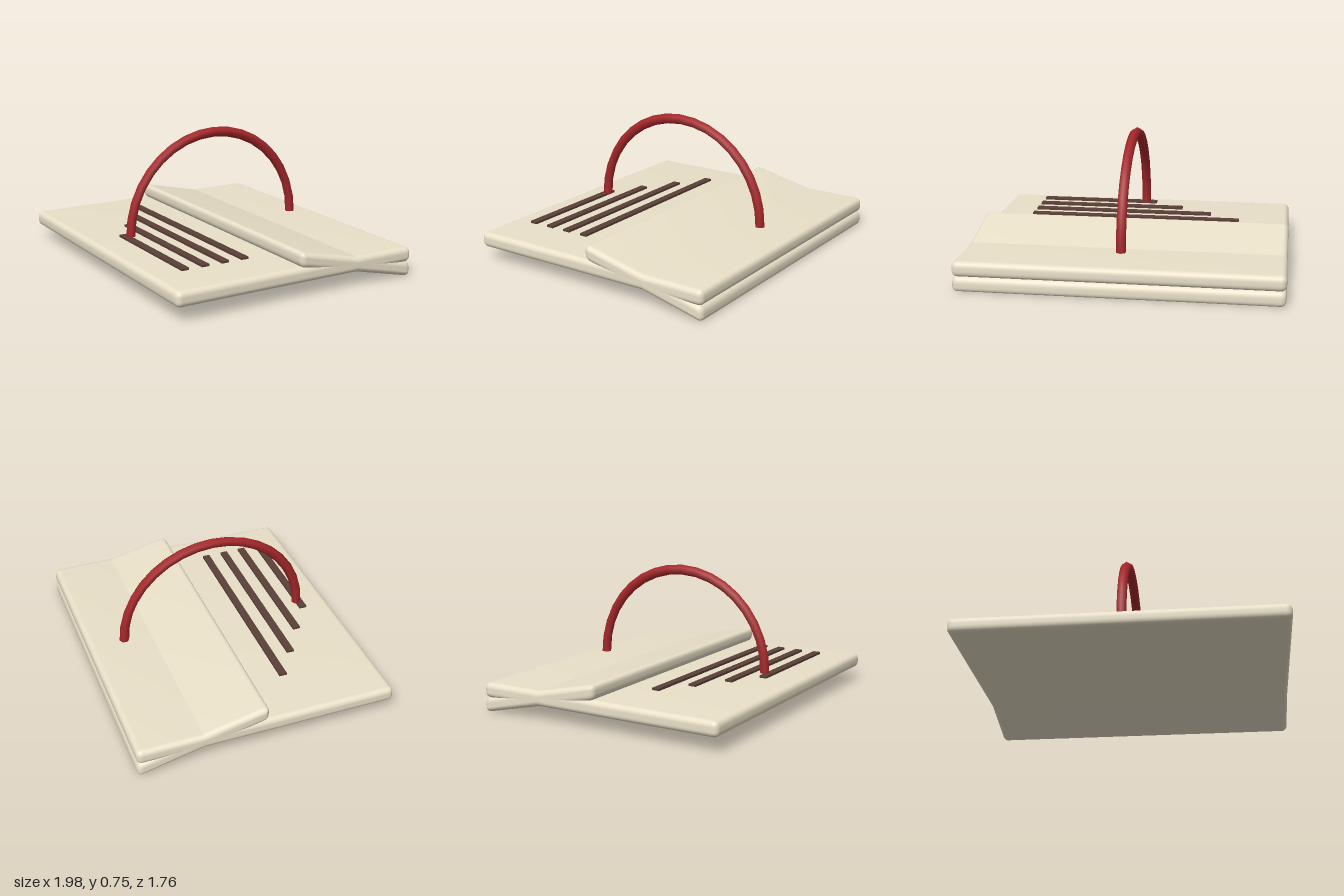
import * as THREE from 'three';
import { toCreasedNormals } from 'three/addons/utils/BufferGeometryUtils.js';

const WIDTH = 1.73, BACK = -0.72, BEND = -0.36, THICK = 0.083, MID = 0.085;

// Slab with softened edges: profile of [z, bottom y] stations from front to back,
// extruded across the width
function slabGeometry(stations) {
  const up = THICK;
  const [f, m, b] = stations;
  const r = 0.036, bevel = 0.03;
  const corners = [
    [f[0], f[1], true], [m[0], m[1], false], [b[0], b[1], true],
    [b[0], b[1] + up, true], [m[0], m[1] + up, false], [f[0], f[1] + up, true],
  ].map(([z, y, round]) => ({ p: new THREE.Vector2(z, y), round }));
  const toward = (p, q) => p.clone().add(q.clone().sub(p).setLength(r));
  const shape = new THREE.Shape();
  corners.forEach(({ p, round }, i) => {
    const prev = corners[(i + 5) % 6].p, next = corners[(i + 1) % 6].p;
    const start = round ? toward(p, prev) : p;
    if (i === 0) shape.moveTo(start.x, start.y);
    else shape.lineTo(start.x, start.y);
    if (round) {
      const end = toward(p, next);
      shape.quadraticCurveTo(p.x, p.y, end.x, end.y);
    }
  });
  shape.closePath();
  const depth = WIDTH - 2 * bevel;
  const geometry = new THREE.ExtrudeGeometry(shape, {
    depth, steps: 1, curveSegments: 14, bevelEnabled: true,
    bevelSize: bevel, bevelOffset: -bevel, bevelThickness: bevel, bevelSegments: 10,
  });
  geometry.translate(0, 0, -depth / 2);
  geometry.rotateY(-Math.PI / 2);
  // Enlarged while smoothing so that the fine edge vertices stay distinct
  geometry.scale(100, 100, 100);
  const smooth = toCreasedNormals(geometry, 0.205);
  smooth.scale(0.01, 0.01, 0.01);
  return smooth;
}

export function createModel() {
  const model = new THREE.Group();
  model.name = 'foldedCaseWithHandle';
  model.rotation.y = -0.209;

  const cream = new THREE.MeshStandardMaterial({ color: 0xe9e0c8 });
  const red = new THREE.MeshStandardMaterial({ color: 0xa8282b, side: THREE.DoubleSide });
  const brown = new THREE.MeshStandardMaterial({ color: 0x5a4038 });

  const add = (name, geometry, material, x = 0, y = 0, z = 0) => {
    const mesh = new THREE.Mesh(geometry, material);
    mesh.name = name;
    mesh.position.set(x, y, z);
    model.add(mesh);
    return mesh;
  };

  // Lower sheet: flat in front, dipping at the back
  add('basePanel', slabGeometry([[0.72, MID], [BEND, MID], [BACK, 0]]), cream);

  // Upper flap: flat at the back, lifted toward its front edge
  add('foldedFlap', slabGeometry([[0, 0.167], [BEND, MID], [BACK, MID]]), cream);

  // Stripes, aligned on the left and shorter toward the front
  const stripeEnd = 0.635;
  [-0.58, -0.41, -0.23, -0.06].forEach((start, i) => {
    add(`stripe${i + 1}`, new THREE.BoxGeometry(stripeEnd - start, 0.012, 0.042), brown,
      (start + stripeEnd) / 2, 0.192, 0.194 + i * 0.1167);
  });

  // Arched handle running front to back
  const arch = new THREE.TorusGeometry(0.525, 0.028, 6, 18, Math.PI);
  arch.rotateY(Math.PI / 2);
  add('handle', arch, red, 0, 0.2, 0);

  const root = new THREE.Group();
  root.name = 'model';
  root.add(model);
  return root;
}
